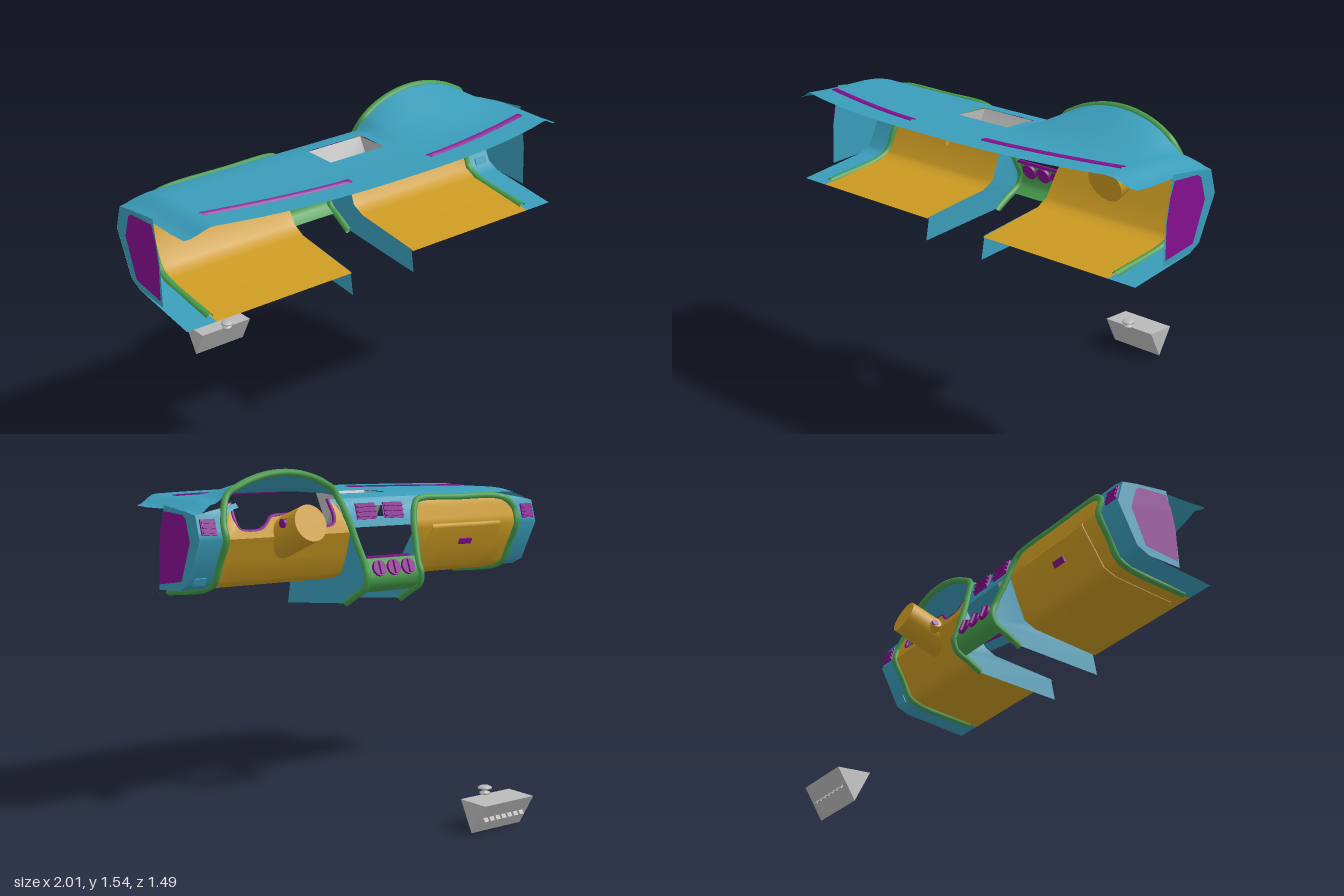
import * as THREE from 'three';

const mat = (name, color) => {
  const m = new THREE.MeshStandardMaterial({ color, side: THREE.DoubleSide });
  m.name = name;
  return m;
};
const { clamp, lerp, smoothstep } = THREE.MathUtils;

// Piecewise linear lookup in [key, value] pairs
const table = (pts) => (k) => {
  if (k <= pts[0][0]) return pts[0][1];
  for (let i = 1; i < pts.length; i++) {
    const [a, va] = pts[i - 1], [b, vb] = pts[i];
    if (k <= b) return lerp(va, vb, (k - a) / (b - a));
  }
  return pts[pts.length - 1][1];
};

// Depth z by height: wing fascia and the deeper centre console
const F = table([[0.985, 0.59], [1.03, 0.25], [1.06, 0.19], [1.25, 0.095], [1.37, 0.13], [1.4, 0.16], [1.53, 0.14]]);
const C = table([[0.89, 0.6], [0.92, 0.16], [1.0, 0.025], [1.05, 0.01], [1.25, 0.085], [1.37, 0.125], [1.4, 0.16]]);
// Inner and outer borders of the wing openings
const inner = table([[0.985, 0.17], [1.1, 0.165], [1.2, 0.182], [1.3, 0.2], [1.37, 0.235], [1.4, 0.27]]);
const outer = (y) => y < 1.29 ? 0.86 : 0.77 + Math.sqrt(Math.max(0, 0.0081 - (y - 1.29) ** 2));
const ROWS = [0.985, 1.03, 1.045, 1.06, 1.15, 1.25, 1.29, 1.32, 1.345, 1.365, 1.375, 1.38];

// Surface of nu x nv cells from fn(i, j) -> [x, y, z]
function grid(nu, nv, fn, skip = () => false) {
  const pos = [], idx = [];
  for (let j = 0; j <= nv; j++) for (let i = 0; i <= nu; i++) pos.push(...fn(i, j));
  for (let j = 0; j < nv; j++) for (let i = 0; i < nu; i++) {
    if (skip(i, j)) continue;
    const a = j * (nu + 1) + i, b = a + 1, c = a + nu + 1, d = c + 1;
    idx.push(a, b, c, b, d, c);
  }
  const g = new THREE.BufferGeometry();
  g.setAttribute('position', new THREE.Float32BufferAttribute(pos, 3));
  g.setIndex(idx);
  g.computeVertexNormals();
  return g;
}

const shapeOf = (pts) => new THREE.Shape(pts.map(([a, b]) => new THREE.Vector2(a, b)));

// Flat x-y outline pushed onto a depth curve
function plate(shape, depth) {
  const g = new THREE.ShapeGeometry(shape, 8), p = g.attributes.position;
  for (let i = 0; i < p.count; i++) p.setZ(i, depth(p.getY(i)));
  g.computeVertexNormals();
  return g;
}

// Outline in (z, y) standing at a given x
function sidePlate(pts, x) {
  const g = new THREE.ShapeGeometry(shapeOf(pts)), p = g.attributes.position;
  for (let i = 0; i < p.count; i++) p.setXYZ(i, typeof x === 'function' ? x(p.getY(i)) : x, p.getY(i), p.getX(i));
  g.computeVertexNormals();
  return g;
}

const tube = (pts, r, n = 80) => new THREE.TubeGeometry(
  new THREE.CatmullRomCurve3(pts.map((p) => new THREE.Vector3(...p)), false, 'centripetal'), n, r, 8);

export function createModel() {
  const teal = mat('teal', 0x3a9cb9), gold = mat('gold', 0xcb9a22), green = mat('green', 0x459a4b);
  const purple = mat('purple', 0x860f8e), grey = mat('grey', 0xb9b9b9);
  const root = new THREE.Group();
  root.name = 'dashboard';
  const add = (name, geo, m, pos, rot) => {
    const mesh = new THREE.Mesh(geo, m);
    mesh.name = name;
    if (pos) mesh.position.set(...pos);
    if (rot) mesh.rotation.set(...rot);
    root.add(mesh);
    return mesh;
  };

  // Top pad with instrument hood and a cut-out for the centre pocket
  const hood = (x) => 0.132 * Math.max(0, 1 - ((x - 0.53) / 0.33) ** 2) ** 0.75;
  const drop = (x) => 0.045 * smoothstep(Math.abs(x), 0.88, 1);
  const rearY = (x) => 1.4 - drop(x) + hood(x);
  const topY = (x, z) => {
    const zr = F(rearY(x));
    return 1.42 - drop(x) - 0.02 * clamp((0.3 - z) / (0.3 - zr), 0, 1) ** 2
      + 0.012 * clamp((z - 0.5) / 0.24, 0, 1)
      + hood(x) * clamp((0.55 - z) / (0.55 - zr), 0, 1) ** 1.9;
  };
  const xs = [-0.145, 0.145];
  for (let i = -40; i <= 40; i++) xs.push(i / 40);
  xs.sort((a, b) => a - b);
  add('topPad', grid(xs.length - 1, 20, (i, j) => {
    const x = xs[i], zf = 0.74 - 0.15 * Math.abs(x) ** 2.5;
    const z = j <= 6 ? lerp(F(rearY(x)), 0.25, j / 6) : j <= 10 ? lerp(0.25, 0.41, (j - 6) / 4) : lerp(0.41, zf, (j - 10) / 10);
    return [x, topY(x, z), z];
  }, (i, j) => j >= 6 && j < 10 && xs[i] >= -0.146 && xs[i + 1] <= 0.146), teal);

  // V-shaped pocket in the top
  add('pocket', grid(1, 2, (i, j) => [i ? 0.145 : -0.145, [1.415, 1.27, 1.42][j], [0.25, 0.33, 0.41][j]]), grey);
  for (const s of [-1, 1]) add('pocketEnd', sidePlate([[0.25, 1.415], [0.33, 1.27], [0.41, 1.42]], s * 0.145), grey);

  for (const s of [-1, 1]) {
    // Windscreen vents
    add('windscreenVent', grid(24, 4, (i, j) => {
      const t = i / 24, x = s * lerp(0.21, 0.86, t), z = 0.618 - 0.113 * t ** 1.5;
      const [dz, dy] = [[-0.014, 0.005], [0.014, 0.005], [0.012, -0.016], [-0.012, -0.016], [-0.014, 0.005]][j];
      return [x, topY(x, z) + dy, z + dz];
    }), purple);

    // Outer ends of the fascia with side panels
    add('endFascia', grid(8, ROWS.length, (i, j) => {
      const y0 = j < ROWS.length ? ROWS[j] : 1.4, u = i / 8;
      const y = Math.min(y0, lerp(1.4, 1.356, u));
      return [s * lerp(outer(y0), 1, u), y, F(y)];
    }), teal);
    add('endSide', sidePlate([[0.42, 1.02], [0.41, 1.2], [0.37, 1.39], [0.2, 1.37], [0.127, 1.355], [0.095, 1.25], [0.19, 1.06], [0.25, 1.03]], s * 0.999), teal);
    add('endPanel', sidePlate([[0.41, 1.045], [0.408, 1.2], [0.39, 1.3], [0.365, 1.365], [0.22, 1.355], [0.195, 1.34], [0.165, 1.24], [0.235, 1.07]], s * 1.003), purple);
    add('sideVent', new THREE.BoxGeometry(0.075, 0.07, 0.016), purple, [s * 0.948, 1.305, F(1.305)], [0.28, 0, 0]);
    for (const k of [-1, 0, 1])
      add('sideVentSlat', new THREE.BoxGeometry(0.066, 0.008, 0.012), purple, [s * 0.948, 1.305 + k * 0.02, F(1.305) - 0.008 + k * 0.006], [0.28, 0, 0]);

    // Console side
    add('consoleSide', sidePlate([[0.6, 0.885], [0.16, 0.92], [0.025, 1], [0.01, 1.05], [0.048, 1.15], [0.085, 1.25],
      [0.095, 1.25], [0.145, 1.15], [0.19, 1.06], [0.25, 1.03], [0.58, 0.99]], (y) => s * inner(y)), teal);

    // Trim around each opening
    const left = [0.92, 0.96, 1.0, 1.05, 1.1, 1.2, 1.3].map((y) => [s * (inner(y) - 0.006), y, C(y)]);
    const over = s > 0
      ? [0.24, 0.29, 0.35, 0.44, 0.53, 0.62, 0.71, 0.77, 0.82].map((x) => [x, rearY(x) - 0.006, F(rearY(x)) - 0.002])
      : [[-0.215, 1.355, 0.12], [-0.25, 1.383, 0.138], [-0.5, 1.387, 0.142], [-0.77, 1.383, 0.138], [-0.825, 1.365, 0.125]];
    const right = [1.32, 1.25, 1.15, 1.06, 1.03, 0.99].map((y) => [s * 0.866, y, F(y)]);
    add('openingTrim', tube([...left, ...over, ...right], 0.016, 140), green);
  }
  add('pullTab', new THREE.BoxGeometry(0.065, 0.035, 0.012), teal, [0.945, 1.07, F(1.07)], [-0.45, 0, 0]);

  // Passenger panel and glovebox
  add('passengerPanel', grid(10, ROWS.length - 1, (i, j) => {
    const y = ROWS[j];
    return [-lerp(inner(y), outer(y), i / 10), y, F(y)];
  }), gold);
  const lidRows = [0.99, 1.03, 1.045, 1.06, 1.15, 1.25, 1.265];
  add('gloveboxLid', grid(6, 8, (i, j) => {
    const y = lidRows[clamp(j - 1, 0, 6)], rim = j === 0 || j === 8 || i === 0 || i === 6;
    const w = lerp(0.25, 0.22, (y - 0.99) / 0.275);
    return [-0.53 + w * lerp(-1, 1, clamp(i - 1, 0, 4) / 4), y - (rim ? 0 : 0.005), F(y) - (rim ? 0 : 0.008)];
  }), gold);
  add('gloveboxHandle', new THREE.BoxGeometry(0.075, 0.028, 0.016), purple, [-0.54, 1.175, F(1.175) - 0.012], [-0.45, 0, 0]);
  add('handleHousing', new THREE.BoxGeometry(0.09, 0.05, 0.025), gold, [-0.54, 1.175, F(1.175) + 0.01], [-0.45, 0, 0]);

  // Driver panel: lower sweep plus the surround of the instrument opening
  const low = ROWS.filter((y) => y < 1.27);
  add('driverPanel', grid(10, low.length - 1, (i, j) => [lerp(inner(low[j]), outer(low[j]), i / 10), low[j], F(low[j])]), gold);
  const opening = [[0.265, 1.4], [0.262, 1.32], [0.275, 1.29], [0.31, 1.28], [0.39, 1.285], [0.425, 1.31], [0.45, 1.335],
    [0.53, 1.342], [0.61, 1.335], [0.635, 1.31], [0.67, 1.285], [0.75, 1.28], [0.785, 1.29], [0.8, 1.32], [0.797, 1.4]];
  add('instrumentSurround', plate(shapeOf([[0.19, 1.25], [0.2, 1.3], [0.235, 1.37], [0.255, 1.4], ...opening,
    [0.81, 1.4], [0.845, 1.345], [0.86, 1.29], [0.86, 1.25]]), F), gold);
  add('instrumentBezel', tube(opening.map(([x, y]) => [x, y, F(y) + 0.008]), 0.009, 100), purple);

  // Steering column with lock and button
  const tilt = Math.atan2(0.055, 0.15);
  const along = (d) => [0.53, 1.315 - d * Math.sin(tilt), -0.055 + d * Math.cos(tilt)];
  add('steeringColumn', new THREE.CylinderGeometry(0.083, 0.088, 0.3, 32), gold, along(0.15), [Math.PI / 2 + tilt, 0, Math.PI]);
  add('columnButton', new THREE.CylinderGeometry(0.02, 0.02, 0.02, 20), purple, [0.612, 1.312, 0.03], [0, 0, Math.PI / 2]);
  add('ignitionLock', new THREE.CylinderGeometry(0.024, 0.034, 0.05, 20), gold, [0.444, 1.262, 0.075], [-0.5, 0, 1.3]);
  add('ignitionFace', new THREE.CylinderGeometry(0.017, 0.017, 0.008, 20), purple, [0.421, 1.267, 0.062], [-0.5, 0, 1.3]);

  // Centre: upper plate with vents around a small slot
  const centre = shapeOf([[-0.2, 1.27], [0.2, 1.27], [0.2, 1.3], [0.235, 1.37], [0.27, 1.4], [-0.27, 1.4], [-0.235, 1.37], [-0.2, 1.3]]);
  centre.holes.push(new THREE.Path([[-0.022, 1.315], [-0.022, 1.365], [0.022, 1.365], [0.022, 1.315]].map((p) => new THREE.Vector2(...p))));
  add('centreUpper', plate(centre, F), teal);
  for (const s of [-1, 1]) {
    add('centreVent', new THREE.BoxGeometry(0.112, 0.075, 0.012), purple, [s * 0.082, 1.34, F(1.34)], [0.28, 0, 0]);
    for (const k of [-1, 0, 1])
      add('centreVentSlat', new THREE.BoxGeometry(0.108, 0.006, 0.016), purple, [s * 0.082, 1.34 + k * 0.022, F(1.34) - 0.008 + k * 0.006], [0.28, 0, 0]);
  }

  // Centre: lower control face, with a purple bar under the open bay
  const faceRows = [0.975, 1.0, 1.025, 1.05, 1.09, 1.13];
  add('controlFace', grid(4, 5, (i, j) => [lerp(-1, 1, i / 4) * (inner(faceRows[j]) - 0.006), faceRows[j], C(faceRows[j])]), green);
  add('bayShelf', grid(1, 1, (i, j) => [i ? 0.155 : -0.155, 1.13, j ? 0.055 : C(1.13)]), green);
  add('bayBar', new THREE.BoxGeometry(0.25, 0.012, 0.016), purple, [0, 1.134, 0.06]);
  for (const x of [-0.086, 0, 0.086]) {
    add('controlKnob', new THREE.CylinderGeometry(0.037, 0.037, 0.026, 28), purple, [x, 1.085, C(1.085)], [Math.PI / 2 + 0.36, 0, 0]);
    add('knobGrip', new THREE.BoxGeometry(0.012, 0.06, 0.016), purple, [x, 1.09, C(1.085) - 0.015], [0.36, 0, 0]);
  }

  // Separate wedge unit with louvres and a knob
  const tri = [[-0.595, 0.14], [-0.745, 0.135], [-0.663, 0.003]];
  add('wedgeBody', grid(1, 3, (i, j) => [i ? 0.145 : -0.145, tri[j % 3][1], tri[j % 3][0]]).toNonIndexed(), grey).geometry.computeVertexNormals();
  for (const s of [-1, 1]) add('wedgeEnd', sidePlate(tri, s * 0.145), grey);
  for (let k = 0; k < 7; k++)
    add('wedgeLouvre', new THREE.BoxGeometry(0.024, 0.035, 0.006), grey, [-0.105 + k * 0.035, 0.07, -0.705], [0.555, 0, 0]);
  const knob = [[0, 0], [0.022, 0], [0.024, 0.008], [0.01, 0.013], [0.01, 0.02], [0.031, 0.024], [0.03, 0.031], [0.018, 0.037], [0, 0.039]];
  add('wedgeKnob', new THREE.LatheGeometry(knob.map(([r, y]) => new THREE.Vector2(r, y)), 24), grey, [0, 0.14, -0.592]);

  return root;
}
